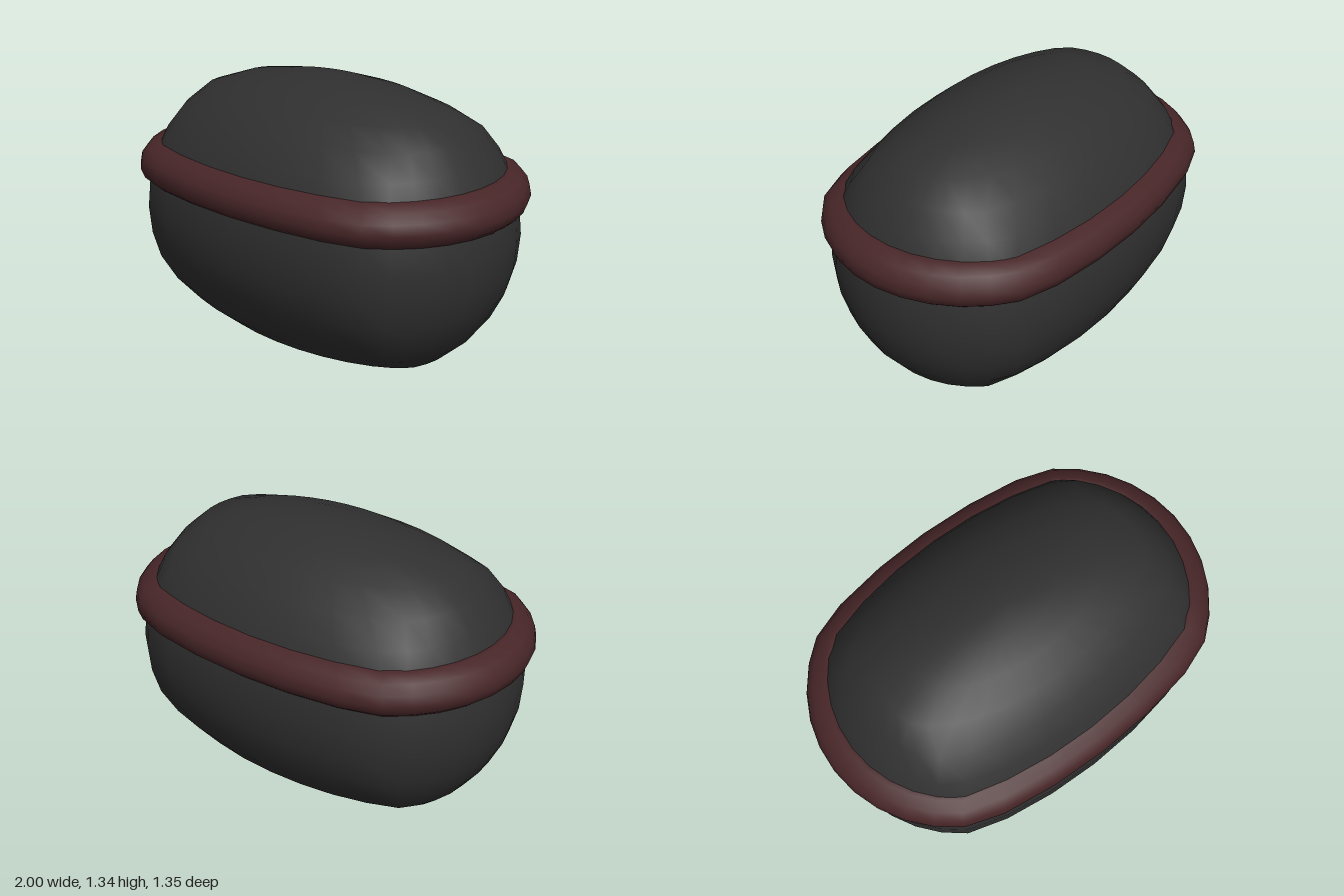
import * as THREE from 'three';
import { mergeVertices } from 'three/addons/utils/BufferGeometryUtils.js';

// Pulls a round form out along x into a capsule-like shape, with smooth normals
function stretch(geometry) {
  const p = geometry.attributes.position;
  for (let i = 0; i < p.count; i++) {
    const x = p.getX(i);
    p.setX(i, x + Math.sign(x) * Math.min(Math.abs(x) * 1.04, 0.327));
  }
  geometry.deleteAttribute('uv');
  geometry.deleteAttribute('normal');
  const merged = mergeVertices(geometry, 1e-4);
  merged.computeVertexNormals();
  return merged;
}

function part(name, geometry, color) {
  const mesh = new THREE.Mesh(geometry, new THREE.MeshStandardMaterial({ color }));
  mesh.name = name;
  return mesh;
}

export function createModel() {
  const model = new THREE.Group();
  model.name = 'bandedPod';

  // Rounded body
  const ball = new THREE.SphereGeometry(1, 32, 16);
  ball.scale(0.63, 0.67, 0.65);
  const body = part('body', stretch(ball), 0x303030);
  body.position.y = 0.67;
  model.add(body);

  // Raised band around the body: closed section of radius and height
  const section = [
    [0.5, 0.8], [0.573, 0.781], [0.625, 0.79], [0.655, 0.815], [0.673, 0.86],
    [0.664, 0.908], [0.632, 0.948], [0.58, 0.973], [0.53, 0.98], [0.48, 0.93], [0.5, 0.8],
  ].map(([r, y]) => new THREE.Vector2(r, y));
  model.add(part('band', stretch(new THREE.LatheGeometry(section, 32)), 0x482628));

  return model;
}
